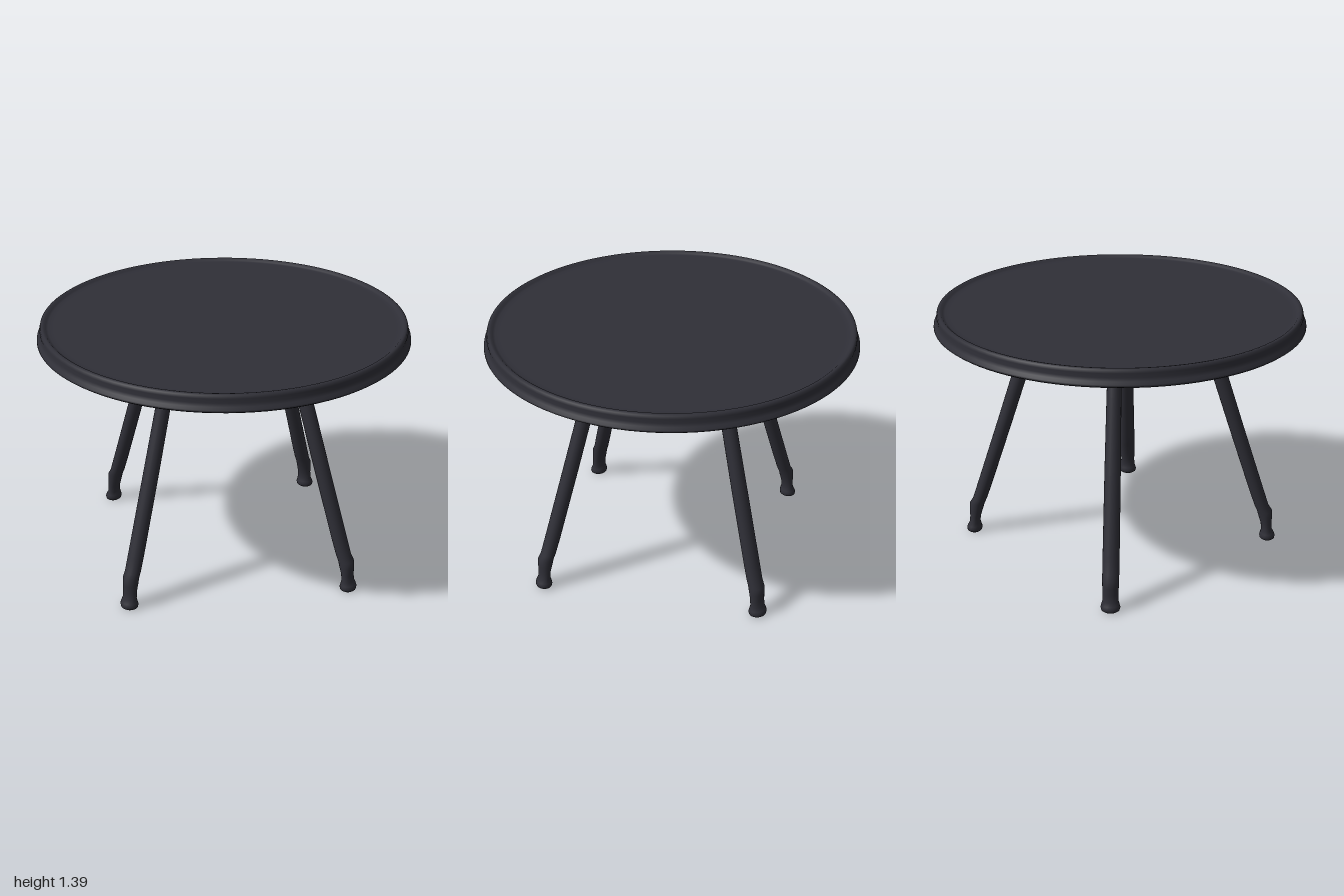
import * as THREE from 'three';
import { mergeVertices } from 'three/addons/utils/BufferGeometryUtils.js';

const charcoal = new THREE.MeshStandardMaterial({ color: 0x2f2f37 });
charcoal.name = 'charcoal';

// Leg stations from top to foot: height, distance from centre, radial radius, sideways radius
const LEG = [
  [1.31, 0.455, 0.11, 0.07],
  [1.297, 0.457, 0.09, 0.058],
  [1.275, 0.462, 0.052, 0.043],
  [1.24, 0.466, 0.041, 0.038],
  [1.18, 0.486, 0.043, 0.036],
  [1.08, 0.522, 0.043, 0.038],
  [0.7, 0.645, 0.042, 0.042],
  [0.3, 0.777, 0.041, 0.044],
  [0.21, 0.808, 0.04, 0.044],
  [0.18, 0.825, 0.043, 0.044],
  [0.14, 0.832, 0.038, 0.043],
  [0.1, 0.838, 0.031, 0.041],
  [0.06, 0.842, 0.03, 0.042],
  [0.04, 0.845, 0.039, 0.048],
  [0.025, 0.846, 0.044, 0.052],
  [0.01, 0.846, 0.042, 0.048],
  [0.003, 0.846, 0.034, 0.038],
];

// Cylinder whose rings are moved onto the leg stations
function legGeometry() {
  const last = LEG.length - 1;
  const raw = new THREE.CylinderGeometry(1, 1, last, 20, last);
  raw.deleteAttribute('uv');
  raw.deleteAttribute('normal');
  const geo = mergeVertices(raw);
  const pos = geo.attributes.position;
  for (let i = 0; i < pos.count; i++) {
    const [y, centre, rx, rz] = LEG[Math.round(last / 2 - pos.getY(i))];
    pos.setXYZ(i, centre + pos.getX(i) * rx, y, pos.getZ(i) * rz);
  }
  geo.computeVertexNormals();
  return geo;
}

export function createModel() {
  const model = new THREE.Group();
  model.name = 'roundSideTable';

  // Round top with flared lower lip, soft rim and shallow recess
  const profile = [
    [0, 1.3], [0.96, 1.3], [0.985, 1.302], [0.997, 1.311], [0.996, 1.32],
    [0.985, 1.333], [0.978, 1.35], [0.98, 1.373], [0.976, 1.388], [0.966, 1.394],
    [0.955, 1.392], [0.946, 1.384], [0.935, 1.379], [0.91, 1.378], [0, 1.378],
  ].map(([r, y]) => new THREE.Vector2(r, y));
  const top = new THREE.Mesh(new THREE.LatheGeometry(profile, 96), charcoal);
  top.name = 'tabletop';
  model.add(top);

  // Four splayed legs, one on each axis
  const geo = legGeometry();
  ['leftLeg', 'backLeg', 'rightLeg', 'frontLeg'].forEach((name, i) => {
    const leg = new THREE.Mesh(geo, charcoal);
    leg.name = name;
    leg.rotation.y = i * Math.PI / 2;
    model.add(leg);
  });
  return model;
}
